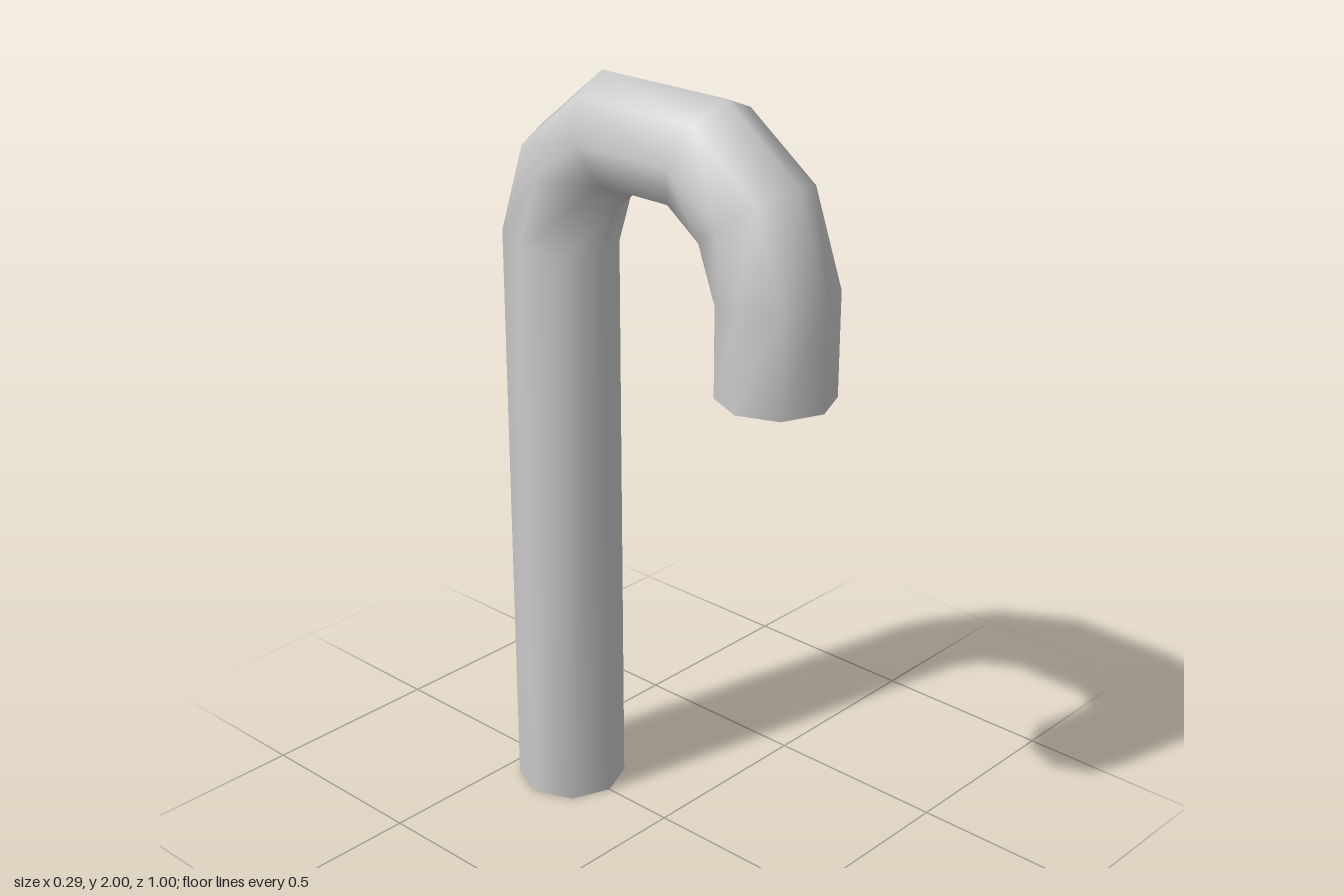
import * as THREE from 'three';

const SIDES = 8;
const RADIUS = 0.145;

// Mitred rings along the cane: outer z, y and inner z, y, from hook tip to foot
const RINGS = [
  [0.5, 1.32, 0.21, 1.32],
  [0.5, 1.59, 0.21, 1.54],
  [0.41, 1.84, 0.165, 1.66],
  [0.19, 2, 0.09, 1.715],
  [-0.2, 2, -0.1, 1.715],
  [-0.41, 1.83, -0.165, 1.66],
  [-0.495, 1.58, -0.205, 1.535],
  [-0.495, 0, -0.205, 0],
];

// Smooth eight-sided skin lofted through the rings
function loftCane() {
  const positions = [];
  const indices = [];
  RINGS.forEach(([oz, oy, iz, iy], i) => {
    for (let j = 0; j < SIDES; j++) {
      const a = (j / SIDES) * Math.PI * 2;
      const t = (1 + Math.cos(a)) / 2;
      positions.push(RADIUS * Math.sin(a), iy + (oy - iy) * t, iz + (oz - iz) * t);
      if (i === RINGS.length - 1) continue;
      const p = i * SIDES + j;
      const q = i * SIDES + ((j + 1) % SIDES);
      indices.push(p, q, q + SIDES, p, q + SIDES, p + SIDES);
    }
  });
  const geometry = new THREE.BufferGeometry();
  geometry.setAttribute('position', new THREE.Float32BufferAttribute(positions, 3));
  geometry.setIndex(indices);
  geometry.computeVertexNormals();
  return geometry;
}

export function createModel() {
  const group = new THREE.Group();
  group.name = 'cane';
  const material = new THREE.MeshStandardMaterial({ color: 0xcccccc });

  const add = (name, geometry) => {
    const mesh = new THREE.Mesh(geometry, material);
    mesh.name = name;
    group.add(mesh);
    return mesh;
  };

  add('caneBody', loftCane());

  // Flat end caps, both facing down
  const cap = new THREE.CircleGeometry(RADIUS, SIDES).rotateX(Math.PI / 2);
  add('hookTipCap', cap).position.set(0, 1.32, 0.355);
  add('footCap', cap).position.set(0, 0, -0.35);

  return group;
}
